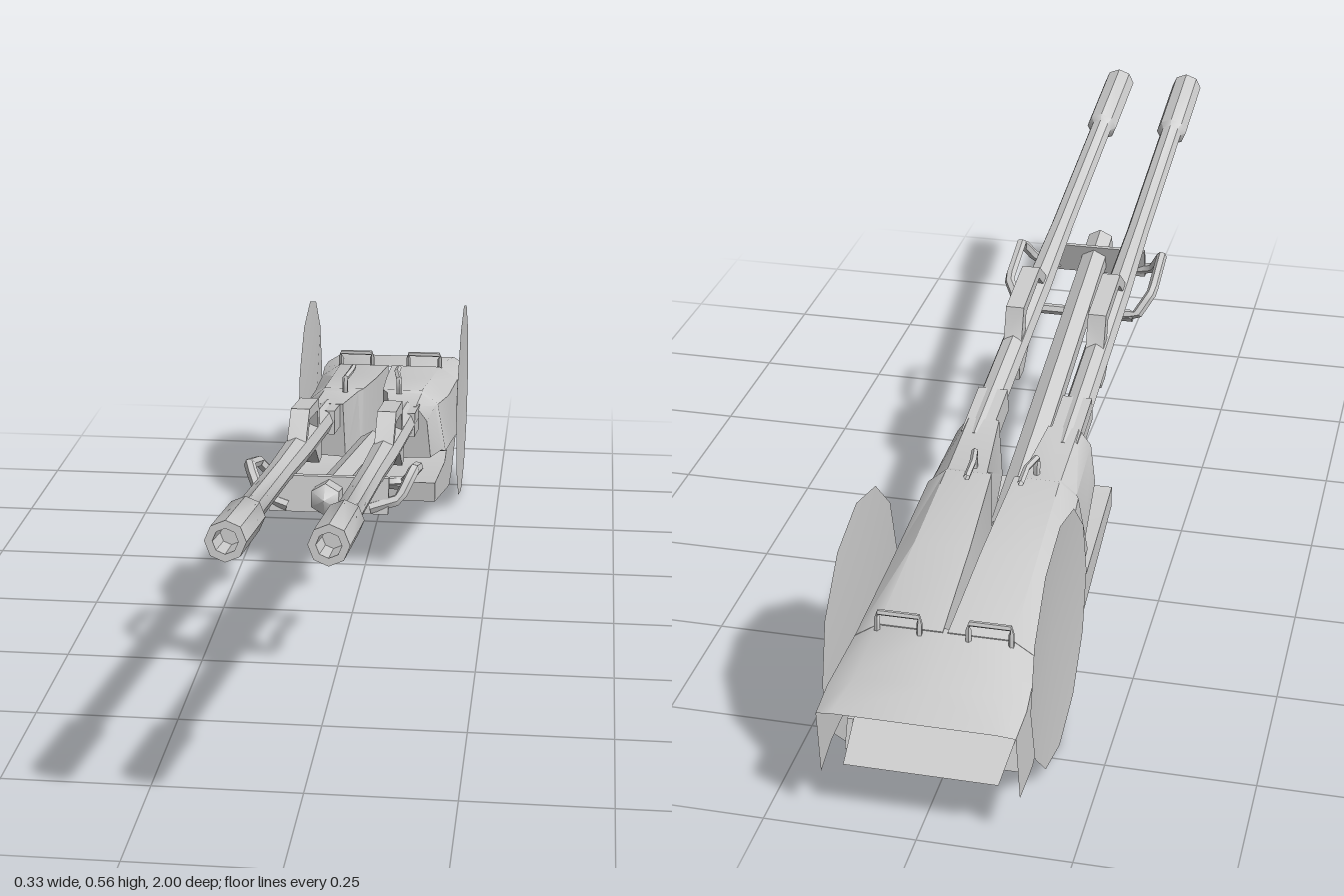
import * as THREE from 'three';
import { toCreasedNormals } from 'three/addons/utils/BufferGeometryUtils.js';

const V = (x, y, z) => new THREE.Vector3(x, y, z);
const material = new THREE.MeshStandardMaterial({ color: 0xcccccc, side: THREE.DoubleSide });

function add(parent, name, geometry) {
  const mesh = new THREE.Mesh(toCreasedNormals(geometry, 0.7), material);
  mesh.name = name;
  parent.add(mesh);
  return mesh;
}

// Skin over equal-length cross-sections; closed sections also get end caps
function loft(sections, closed = true) {
  const n = sections[0].length, pos = [], index = [];
  sections.forEach(s => s.forEach(p => pos.push(...p)));
  for (let s = 0; s < sections.length - 1; s++) {
    for (let i = 0; i < (closed ? n : n - 1); i++) {
      const a = s * n + i, b = s * n + (i + 1) % n;
      index.push(a, b, b + n, a, b + n, a + n);
    }
  }
  if (closed) {
    const e = (sections.length - 1) * n;
    for (let i = 1; i < n - 1; i++) index.push(0, i + 1, i, e, e + i, e + i + 1);
  }
  const g = new THREE.BufferGeometry();
  g.setAttribute('position', new THREE.Float32BufferAttribute(pos, 3));
  g.setIndex(index);
  return g;
}

// Low-poly rod following straight segments
function rod(points, radius, sides = 6) {
  const path = new THREE.CurvePath();
  for (let i = 1; i < points.length; i++) path.add(new THREE.LineCurve3(points[i - 1], points[i]));
  return new THREE.TubeGeometry(path, (points.length - 1) * 4, radius, sides, false);
}

// Lathe whose axis runs from a towards b; profile is [radius, distance]
function turned(parent, name, a, b, profile, sides) {
  const g = new THREE.LatheGeometry(profile.map(p => new THREE.Vector2(...p)), sides);
  const mesh = add(parent, name, g);
  mesh.position.copy(a);
  mesh.quaternion.setFromUnitVectors(V(0, 1, 0), b.clone().sub(a).normalize());
  return mesh;
}

// Profile in [z, y], extruded across x
function sideExtrude(outline, width, hole) {
  const pts = o => o.map(([z, y]) => new THREE.Vector2(-z, y));
  const shape = new THREE.Shape(pts(outline));
  if (hole) shape.holes.push(new THREE.Path(pts(hole)));
  const g = new THREE.ExtrudeGeometry(shape, { depth: width, bevelEnabled: false });
  return g.translate(0, 0, -width / 2).rotateY(Math.PI / 2);
}

function buildSide(sign) {
  const side = new THREE.Group();
  side.name = sign > 0 ? 'leftSide' : 'rightSide';
  const tipX = sign > 0 ? 0.071 : 0.079;

  // Barrel with a thicker, hollow muzzle
  const base = V(0.08, 0.315, -0.29), tip = V(tipX, 0.532, 0.995);
  const L = base.distanceTo(tip);
  turned(side, 'barrel', base, tip, [
    [0, 0], [0.026, 0], [0.026, L * 0.38], [0.022, L * 0.55], [0.022, L - 0.205],
    [0.031, L - 0.195], [0.031, L], [0.019, L], [0.017, L - 0.06], [0, L - 0.06],
  ], 8);

  // Square breech block where the barrel leaves the receiver
  const breech = add(side, 'breechBlock', new THREE.BoxGeometry(0.054, 0.046, 0.13));
  breech.position.set(0.078, 0.326, -0.22);
  breech.rotation.x = -0.167;

  // Carrying arch above the barrel
  const arch = add(side, 'carryingArch', sideExtrude(
    [[0.22, 0.39], [0.2, 0.425], [0.15, 0.462], [0.015, 0.44], [-0.005, 0.385],
      [-0.025, 0.365], [-0.025, 0.31], [0.01, 0.312], [0.07, 0.36]], 0.034,
    [[0.185, 0.41], [0.145, 0.442], [0.035, 0.422], [0.025, 0.385]]));
  arch.position.x = 0.078;

  // Receiver housing, widening and dropping towards the rear
  const housing = [
    [-0.25, [[0.04, 0.235], [0.045, 0.345], [0.1, 0.345], [0.122, 0.315], [0.13, 0.24]]],
    [-0.4, [[0.025, 0.2], [0.03, 0.325], [0.1, 0.325], [0.128, 0.3], [0.142, 0.205]]],
    [-0.41, [[0.02, 0.195], [0.02, 0.328], [0.1, 0.328], [0.133, 0.3], [0.15, 0.2]]],
    [-0.6, [[0.005, 0.15], [0.01, 0.295], [0.105, 0.295], [0.143, 0.26], [0.152, 0.16]]],
    [-0.8, [[0, 0.11], [0.004, 0.262], [0.11, 0.262], [0.15, 0.235], [0.158, 0.12]]],
  ];
  add(side, 'receiverHousing', loft(housing.map(([z, pts]) => pts.map(([x, y]) => [x, y, z]))));

  // Open hood behind the receiver
  add(side, 'rearHood', loft([
    [[0, 0.262, -0.79], [0.11, 0.262, -0.79], [0.15, 0.235, -0.79], [0.158, 0.12, -0.79]],
    [[0, 0.24, -0.92], [0.115, 0.24, -0.92], [0.16, 0.218, -0.92], [0.164, 0.1, -0.9]],
    [[0, 0.226, -1], [0.13, 0.226, -1], [0.158, 0.212, -0.985], [0.16, 0.09, -0.97]],
  ], false));

  // Cocking lever and rear grab handle on the cover
  add(side, 'cockingLever', rod([V(0.055, 0.315, -0.39), V(0.055, 0.357, -0.385),
    V(0.047, 0.36, -0.43), V(0.047, 0.355, -0.475)], 0.006, 5));
  add(side, 'grabHandle', rod([V(0.04, 0.255, -0.81), V(0.04, 0.288, -0.805),
    V(0.11, 0.288, -0.805), V(0.11, 0.255, -0.81)], 0.005, 5));

  // Shallow dished side shield
  const shield = add(side, 'sideShield', new THREE.ConeGeometry(0.211, 0.013, 12, 1, true).rotateZ(Math.PI / 2));
  shield.position.set(0.16, 0.216, -0.712);

  // Bowed side rail of the support frame
  add(side, 'frameRail', rod([V(0.07, 0.347, 0.21), V(0.118, 0.353, 0.21), V(0.142, 0.39, 0.235),
    V(0.142, 0.422, 0.345), V(0.12, 0.378, 0.375), V(0.07, 0.364, 0.385)], 0.01));

  side.scale.x = sign;
  return side;
}

export function createModel() {
  const model = new THREE.Group();
  model.name = 'twinBarrelCannon';
  model.add(buildSide(1), buildSide(-1));

  // Central recoil tube with a pointed cap
  const a = V(0, 0.212, -0.4), b = V(0, 0.397, 0.44), L = a.distanceTo(b);
  turned(model, 'recoilTube', a, b, [[0, 0], [0.029, 0], [0.027, L], [0, L + 0.02]], 6);

  // Cross bar and thin plate joining the barrels
  add(model, 'frameCrossBar', rod([V(-0.11, 0.347, 0.21), V(0.11, 0.347, 0.21)], 0.01));
  add(model, 'frameFrontPlate', sideExtrude(
    [[0.39, 0.355], [0.375, 0.415], [0.365, 0.415], [0.378, 0.355]], 0.205));

  // Lower hull: wedge under the receivers
  const hull = add(model, 'lowerHull', sideExtrude(
    [[-0.2, 0.165], [-0.66, 0.035], [-0.75, 0.038], [-0.9, 0.085], [-0.88, 0.13], [-0.6, 0.16], [-0.5, 0.145], [-0.2, 0.204]], 0.294));
  hull.position.x = -0.004;

  // Sloping floor inside the open hood
  add(model, 'rearFloor', loft([
    [[-0.14, 0.16, -0.79], [0.14, 0.16, -0.79]],
    [[-0.125, 0.105, -0.965], [0.125, 0.105, -0.965]],
  ], false));

  return model;
}
